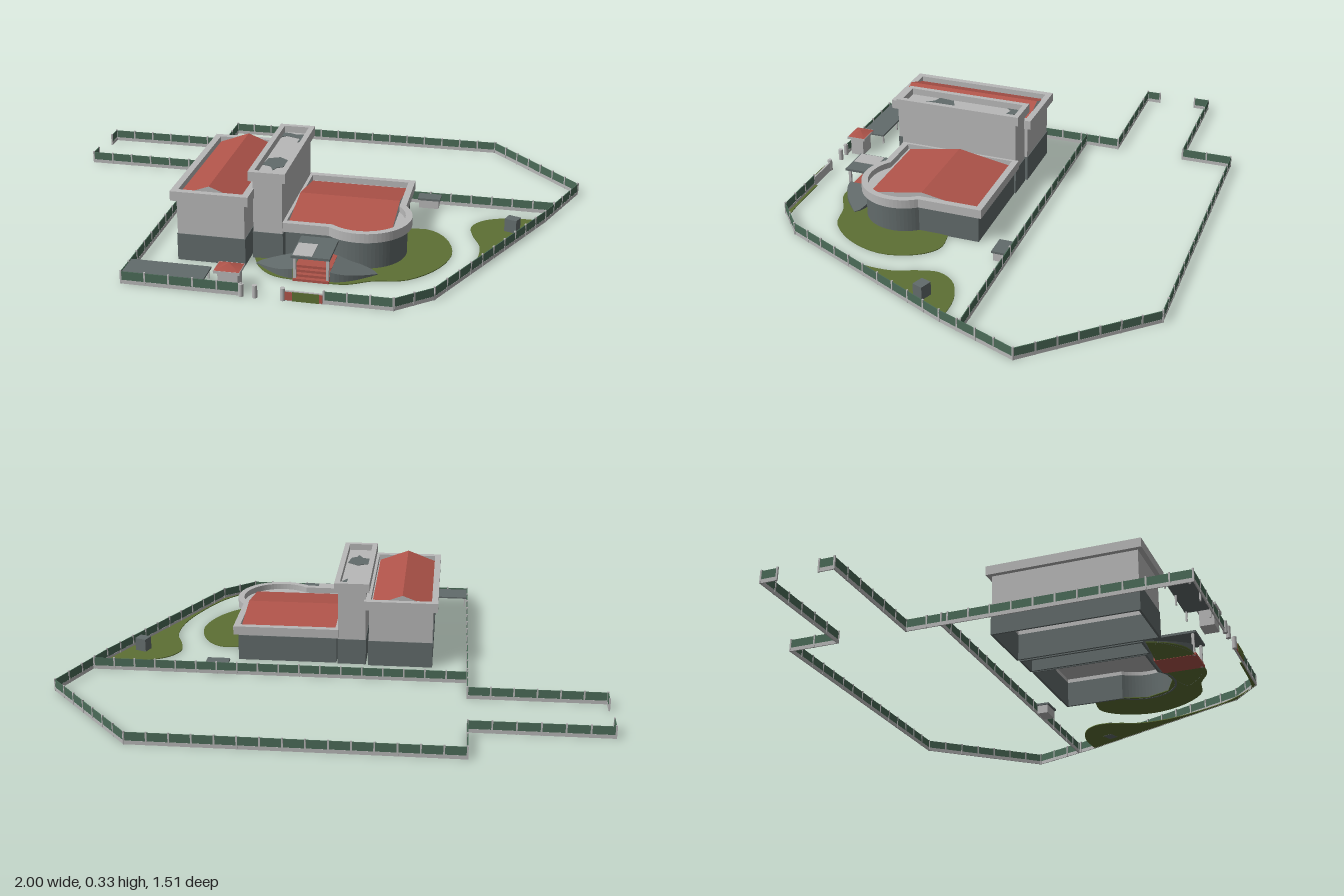
import * as THREE from 'three';

const mat = (name, color, double = true) => {
  const m = new THREE.MeshStandardMaterial({ color, side: double ? THREE.DoubleSide : THREE.FrontSide });
  m.name = name;
  return m;
};

export function createModel() {
  const root = new THREE.Group();
  const light = mat('lightGrey', 0xb8b8b8);
  const dark = mat('slateGrey', 0x626b6b);
  const red = mat('roofRed', 0xb0544a);
  const fenceGreen = mat('fenceGreen', 0x4b6b58);
  const grass = mat('grass', 0x5d7034);

  const add = (name, geo, material, parent = root) => {
    const m = new THREE.Mesh(geo, material);
    m.name = name;
    parent.add(m);
    return m;
  };
  const box = (name, material, x0, x1, y0, y1, z0, z1, parent) => {
    const m = add(name, new THREE.BoxGeometry(x1 - x0, y1 - y0, z1 - z0), material, parent);
    m.position.set((x0 + x1) / 2, (y0 + y1) / 2, (z0 + z1) / 2);
    return m;
  };
  // Plan outlines are [x, z] points, extruded upwards
  const plan = pts => pts.map(([x, z]) => new THREE.Vector2(x, -z));
  const slab = (name, material, pts, y0, y1, hole, parent) => {
    const s = new THREE.Shape(plan(pts));
    if (hole) s.holes.push(new THREE.Path(plan(hole)));
    const g = new THREE.ExtrudeGeometry(s, { depth: y1 - y0, bevelEnabled: false });
    g.rotateX(-Math.PI / 2).translate(0, y0, 0);
    return add(name, g, material, parent);
  };
  const rect = (x0, x1, z0, z1) => o =>
    [[x0 - o, z0 - o], [x1 + o, z0 - o], [x1 + o, z1 + o], [x0 - o, z1 + o]];

  // Hollow block: dark plinth, light wall, projecting parapet and flat roof
  const block = (name, outline, parapetY, topY, deckY, over) => {
    const g = new THREE.Group();
    g.name = name;
    root.add(g);
    slab('plinth', dark, outline(0.002), 0, 0.1, outline(-0.006), g);
    slab('wall', light, outline(0), 0.1, parapetY, outline(-0.006), g);
    slab('parapet', light, outline(over), parapetY, topY, outline(-0.006), g);
    slab('flatRoof', light, outline(-0.005), deckY - 0.004, deckY, null, g);
    return g;
  };
  const leftWing = block('leftWing', rect(-0.366, -0.125, -0.024, 0.52), 0.23, 0.265, 0.24, 0.018);
  const tower = block('tower', rect(-0.112, -0.008, -0.017, 0.45), 0.295, 0.33, 0.305, 0.014);

  // Low wing: rectangle with a round bay at its front left corner
  const lowOutline = o => {
    const r = 0.15 + o, a = Math.acos((0.115 + o) / r), pts = [[-0.5 * o, -0.012 - o], [0.375 + o, -0.012 - o]];
    for (let i = 0; i <= 32; i++) {
      const t = -a + (Math.PI / 2 + 2 * a) * i / 32;
      pts.push([0.26 + r * Math.cos(t), 0.315 + r * Math.sin(t)]);
    }
    pts.push([-0.5 * o, 0.43 + o]);
    return pts;
  };
  const lowWing = block('lowWing', lowOutline, 0.108, 0.142, 0.119, 0.018);

  // Weathered patches on the tower roof
  slab('roofPatch', dark, [[-0.1, 0.27], [-0.06, 0.25], [-0.02, 0.28], [-0.03, 0.34], [-0.05, 0.35],
    [-0.058, 0.375], [-0.075, 0.34], [-0.107, 0.33]], 0.305, 0.307, null, tower);
  slab('roofPatch', dark, [[-0.106, 0], [-0.085, 0.0], [-0.06, 0.01], [-0.015, 0], [-0.015, 0.06],
    [-0.035, 0.09], [-0.035, 0.05], [-0.09, 0.03], [-0.106, 0.05]], 0.305, 0.307, null, tower);

  // Gable roof with its ridge along z: grey ends, two red slopes
  const gable = (parent, half, length, rise) => {
    const g = new THREE.Group();
    g.name = 'gableRoof';
    const tri = new THREE.Shape([new THREE.Vector2(-half, 0), new THREE.Vector2(half, 0), new THREE.Vector2(0, rise)]);
    add('gableBody', new THREE.ExtrudeGeometry(tri, { depth: length, bevelEnabled: false })
      .translate(0, 0, -length / 2), [light, red], g);
    parent.add(g);
    return g;
  };
  gable(leftWing, 0.115, 0.536, 0.043).position.set(-0.25, 0.242, 0.248);
  const lowRoof = gable(lowWing, 0.207, 0.366, 0.037);
  lowRoof.rotation.y = Math.PI / 2;
  lowRoof.position.set(0.186, 0.121, 0.208);

  // Entrance: canopy, posts, red steps and two curved ramps
  const entrance = new THREE.Group();
  entrance.name = 'entrance';
  root.add(entrance);
  box('canopy', dark, 0.058, 0.192, 0.087, 0.096, 0.44, 0.604, entrance);
  box('canopyPanel', light, 0.062, 0.13, 0.096, 0.0975, 0.5, 0.598, entrance);
  for (const x of [0.068, 0.182]) box('canopyPost', light, x - 0.005, x + 0.005, 0, 0.087, 0.585, 0.595, entrance);
  for (let i = 0; i < 4; i++)
    box('step', red, 0.062, 0.188, i * 0.009, (i + 1) * 0.009, 0.44, 0.6 - i * 0.017, entrance);
  const ramp = side => {
    const pos = [], idx = [], n = 10;
    for (let i = 0; i <= n; i++) {
      const t = i / n, x = 0.125 + side * (0.215 - 0.15 * t), y = 0.006 + 0.034 * t;
      const zi = 0.5 - 0.05 * Math.sqrt(t), zo = 0.5 + 0.09 * Math.sin(t * Math.PI / 2);
      pos.push(x, 0, zi, x, y, zi, x, y, zo, x, 0, zo);
    }
    for (let i = 0; i < n; i++) for (let k = 0; k < 3; k++) {
      const a = i * 4 + k, b = a + 4;
      if (side < 0) idx.push(a, a + 1, b, b, a + 1, b + 1);
      else idx.push(a, b, a + 1, b, b + 1, a + 1);
    }
    const g = new THREE.BufferGeometry();
    g.setAttribute('position', new THREE.Float32BufferAttribute(pos, 3));
    g.setIndex(idx);
    const flat = g.toNonIndexed();
    flat.computeVertexNormals();
    add('curvedRamp', flat, dark, entrance);
  };
  ramp(1);
  ramp(-1);

  // Lawns with a smooth free edge
  const smooth = pts => new THREE.SplineCurve(pts.map(p => new THREE.Vector2(...p))).getPoints(40).map(v => [v.x, v.y]);
  slab('houseLawn', grass, [...smooth([[0.38, 0.105], [0.47, 0.1], [0.54, 0.17], [0.57, 0.29], [0.53, 0.42],
    [0.44, 0.52], [0.33, 0.55], [0.24, 0.595], [0.12, 0.595], [0.0, 0.585], [-0.07, 0.53], [-0.105, 0.46]]),
    [0.14, 0.44], [0.26, 0.455], [0.36, 0.41], [0.4, 0.315], [0.37, 0.22]], 0.001, 0.004);
  slab('boundaryLawn', grass, [...smooth([[0.88, -0.07], [0.76, -0.07], [0.66, -0.03], [0.615, 0.04], [0.63, 0.12],
    [0.66, 0.2], [0.66, 0.31], [0.63, 0.43], [0.56, 0.59], [0.48, 0.69], [0.42, 0.722], [0.2, 0.728]]),
    [0.2, 0.738], [0.43, 0.738], [0.55, 0.635]], 0.001, 0.004);

  // Fence runs: light kerb, green panels and evenly spaced posts
  const runs = [
    [[0.2, 0.74], [0.43, 0.738], [0.55, 0.635], [0.88, -0.07], [0.993, -0.365], [0.64, -0.755],
      [-0.5, -0.755], [-0.5, -0.56], [-0.998, -0.56], [-0.998, -0.5]],
    [[-0.998, -0.345], [-0.998, -0.29], [-0.5, -0.29], [-0.5, 0.74], [-0.08, 0.74]],
    [[-0.5, -0.155], [0.908, -0.155]]
  ];
  const postGeo = new THREE.BoxGeometry(0.006, 0.049, 0.006);
  const fence = new THREE.Group();
  fence.name = 'fence';
  root.add(fence);
  for (const run of runs) for (let i = 0; i + 1 < run.length; i++) {
    const [ax, az] = run[i], [bx, bz] = run[i + 1];
    const len = Math.hypot(bx - ax, bz - az), n = Math.max(1, Math.round(len / 0.078));
    const side = new THREE.Group();
    side.name = 'fenceSide';
    side.position.set(ax, 0, az);
    side.rotation.y = Math.atan2(az - bz, bx - ax);
    fence.add(side);
    box('kerb', light, 0, len, 0, 0.014, -0.002, 0.002, side);
    box('panel', fenceGreen, 0, len, 0.014, 0.045, -0.0015, 0.0015, side);
    for (let k = 0; k <= n; k++) add('post', postGeo, light, side).position.set(len * k / n, 0.0245, 0);
  }

  // Gate pillars and low entry wall
  for (const x of [-0.08, -0.033, 0.062])
    add('gatePillar', new THREE.CylinderGeometry(0.009, 0.009, 0.045, 16), light).position.set(x, 0.0225, 0.742);
  box('entryWall', light, 0.062, 0.2, 0, 0.036, 0.737, 0.744);
  box('entryWallRed', red, 0.066, 0.196, 0.003, 0.033, 0.744, 0.746);
  box('entryWallGreen', grass, 0.095, 0.185, 0.002, 0.035, 0.746, 0.748);

  // Gatehouse with a hipped roof
  box('gatehouseBody', light, -0.165, -0.095, 0, 0.07, 0.672, 0.725);
  box('gatehouseEaves', light, -0.177, -0.086, 0.069, 0.079, 0.66, 0.735);
  const hip = add('gatehouseRoof', new THREE.ConeGeometry(Math.SQRT1_2, 0.016, 4, 1).rotateY(Math.PI / 4), red);
  hip.scale.set(0.088, 1, 0.072);
  hip.position.set(-0.1315, 0.087, 0.6975);

  // Parking shelter
  box('shelterRoof', dark, -0.5, -0.212, 0.036, 0.042, 0.635, 0.732);
  for (const x of [-0.49, -0.356, -0.222]) for (const z of [0.642, 0.725])
    box('shelterPost', light, x - 0.003, x + 0.003, 0, 0.036, z - 0.003, z + 0.003);

  // Service hut and lawn cabinet
  box('hutBody', light, 0.4, 0.475, 0, 0.033, -0.15, -0.106);
  box('hutRoof', dark, 0.395, 0.481, 0.033, 0.041, -0.155, -0.101);
  const cabinet = box('lawnCabinet', dark, 0.742, 0.788, 0, 0.054, 0.02, 0.06);
  cabinet.rotation.y = -0.35;

  return root;
}
